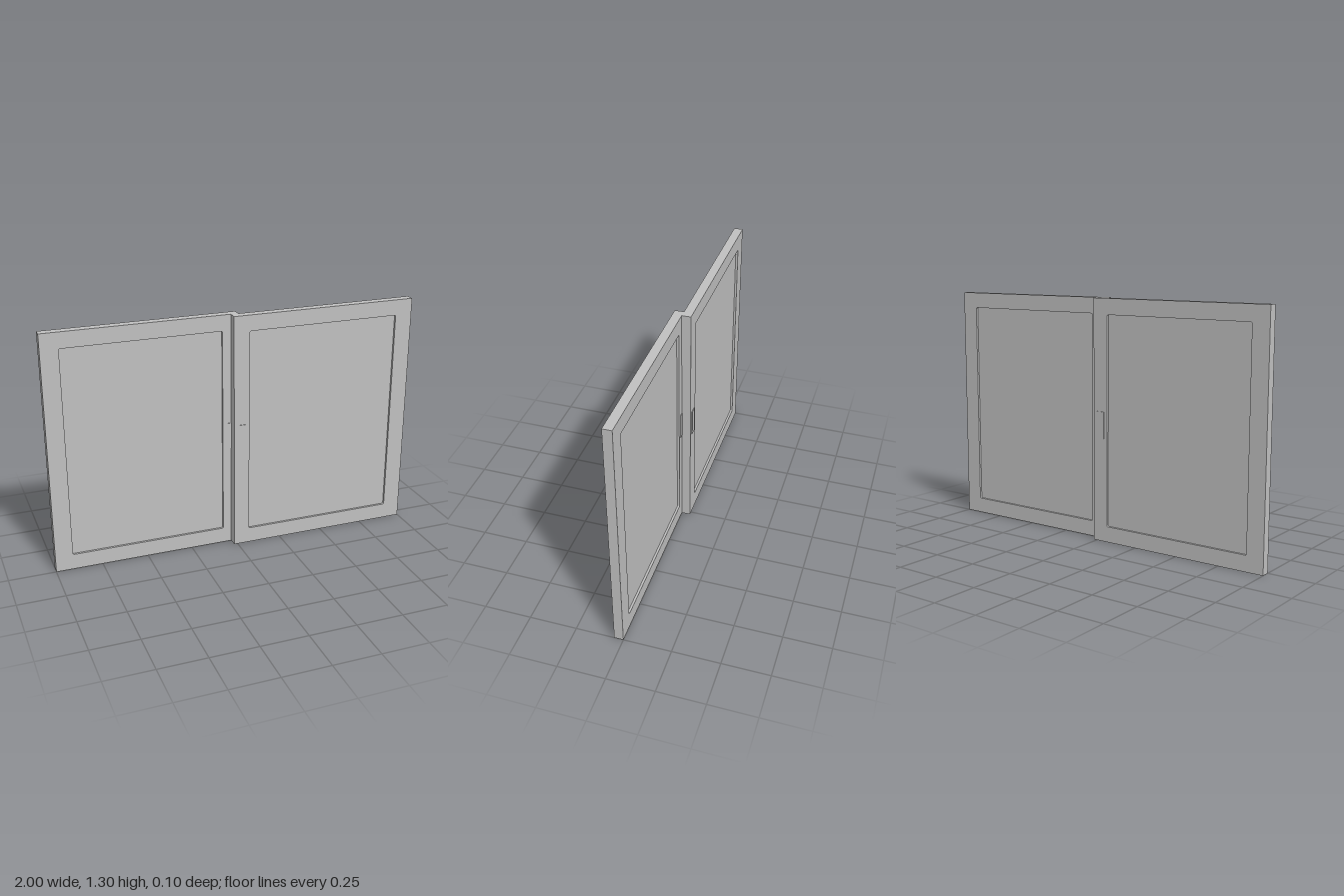
import * as THREE from 'three';

const H = 1.3, T = 0.048;

function roundedRect(path, x0, y0, x1, y1, r) {
  path.moveTo(x0 + r, y0);
  path.lineTo(x1 - r, y0);
  path.absarc(x1 - r, y0 + r, r, -Math.PI / 2, 0);
  path.lineTo(x1, y1 - r);
  path.absarc(x1 - r, y1 - r, r, 0, Math.PI / 2);
  path.lineTo(x0 + r, y1);
  path.absarc(x0 + r, y1 - r, r, Math.PI / 2, Math.PI);
  path.lineTo(x0, y0 + r);
  path.absarc(x0 + r, y0 + r, r, Math.PI, Math.PI * 1.5);
  return path;
}

// One sliding leaf, standing in front of z = 0 and reaching towards +x
function makeLeaf(material) {
  const leaf = new THREE.Group();
  const add = (name, geometry, x, y, z) => {
    const mesh = new THREE.Mesh(geometry, material);
    mesh.name = name;
    mesh.position.set(x, y, z);
    leaf.add(mesh);
  };

  // Frame with a softly cornered opening
  const outline = new THREE.Shape([[-0.02, 0], [1, 0], [1, H], [-0.02, H]].map(p => new THREE.Vector2(...p)));
  outline.holes.push(roundedRect(new THREE.Path(), 0.066, 0.085, 0.906, 1.215, 0.008));
  add('frame', new THREE.ExtrudeGeometry(outline, { depth: T, bevelEnabled: false, curveSegments: 4 }), 0, 0, 0);

  // Pane set back from both faces
  add('pane', new THREE.BoxGeometry(0.86, 1.15, T - 0.024), 0.486, 0.65, T / 2);

  // Pull plate, slightly proud of both faces
  add('pullPlate', new THREE.BoxGeometry(0.044, 0.145, T + 0.007), 0.025, 0.633, T / 2);
  return leaf;
}

export function createModel() {
  const model = new THREE.Group();
  model.name = 'slidingWindow';
  const grey = new THREE.MeshStandardMaterial({ color: 0xc0c0c0 });
  grey.name = 'grey';

  const front = makeLeaf(grey);
  front.name = 'frontLeaf';
  const back = makeLeaf(grey);
  back.name = 'backLeaf';
  back.rotation.y = Math.PI; // the same leaf turned half round
  model.add(front, back);
  return model;
}
